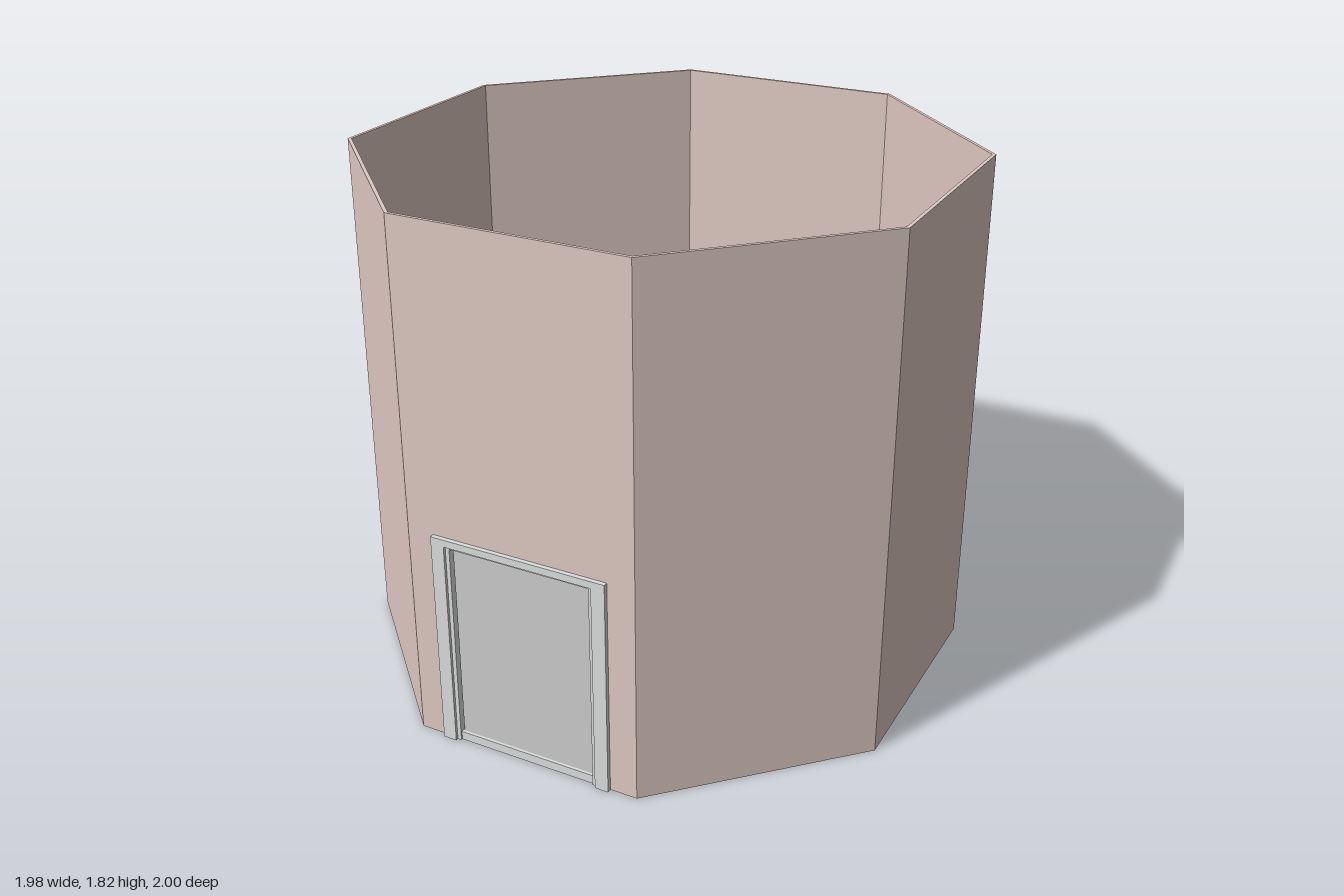
import * as THREE from 'three';

const material = (name, color) => {
  const m = new THREE.MeshStandardMaterial({ color });
  m.name = name;
  return m;
};

export function createModel() {
  const wallPaint = material('wallPaint', 0xdec8c1);
  const trimPaint = material('trimPaint', 0xdadddc);
  const floorGrey = material('floorGrey', 0xb4b4b4);
  const boardBrown = material('boardBrown', 0x8b4513);

  const apothem = 0.992, thick = 0.012, height = 1.82;
  const half = apothem * Math.tan(Math.PI / 8);
  const inner = apothem - thick;
  const doorHalf = 0.267, doorTop = 0.745;

  const model = new THREE.Group();
  model.name = 'octagonalRoom';
  model.position.z = -0.008;

  const box = (parent, name, mat, w, h, d, x, y, z) => {
    const mesh = new THREE.Mesh(new THREE.BoxGeometry(w, h, d), mat);
    mesh.name = name;
    mesh.position.set(x, y, z);
    parent.add(mesh);
  };

  // One wall panel with mitred ends; the front one has a door opening
  const wallGeometry = (hasDoor) => {
    const points = [[half, 0], [half, height], [-half, height], [-half, 0]];
    if (hasDoor) points.push([-doorHalf, 0], [-doorHalf, doorTop], [doorHalf, doorTop], [doorHalf, 0]);
    const shape = new THREE.Shape(points.map(([x, y]) => new THREE.Vector2(x, y)));
    const geo = new THREE.ExtrudeGeometry(shape, { depth: thick, bevelEnabled: false });
    geo.translate(0, 0, inner);
    const p = geo.attributes.position;
    for (let i = 0; i < p.count; i++) {
      if (Math.abs(p.getX(i)) > half - 0.001) p.setX(i, p.getX(i) * p.getZ(i) / apothem);
    }
    geo.computeVertexNormals();
    return geo;
  };

  // Eight walls, with outlet plates on the back and side walls
  for (let i = 0; i < 8; i++) {
    const side = new THREE.Group();
    side.name = i === 0 ? 'frontSide' : `side${i}`;
    side.rotation.y = i * Math.PI / 4;
    const wall = new THREE.Mesh(wallGeometry(i === 0), wallPaint);
    wall.name = 'wall';
    side.add(wall);
    if (i >= 2 && i <= 6) {
      box(side, 'outletPlate', trimPaint, 0.085, 0.13, 0.006, 0.243, 0.161, inner - 0.003);
    }
    model.add(side);
  }

  // Floor slab
  const floorRadius = (apothem - 0.003) / Math.cos(Math.PI / 8);
  const floorGeo = new THREE.CylinderGeometry(floorRadius, floorRadius, 0.03, 8).toNonIndexed();
  floorGeo.computeVertexNormals();
  const floor = new THREE.Mesh(floorGeo, floorGrey);
  floor.name = 'floor';
  floor.rotation.y = Math.PI / 8;
  floor.position.y = 0.015;
  model.add(floor);

  // Brown board set through the back wall
  box(model, 'backBoard', boardBrown, 0.55, 0.39, thick + 0.006, 0, 0.555, -(apothem - thick / 2));

  // Door casing outside and inside, with a jamb lining the opening
  const door = new THREE.Group();
  door.name = 'doorFrame';
  const casing = 0.048, casingTop = 0.77;
  for (const [z, d] of [[apothem + 0.008, 0.016], [inner - 0.005, 0.01]]) {
    for (const s of [-1, 1]) {
      box(door, 'sideCasing', trimPaint, casing, casingTop, d, s * (doorHalf + casing / 2), casingTop / 2, z);
    }
    box(door, 'topCasing', trimPaint, doorHalf * 2, casingTop - doorTop, d, 0, (casingTop + doorTop) / 2, z);
  }
  const jambZ = apothem - thick / 2, jambDepth = thick + 0.012;
  for (const s of [-1, 1]) {
    box(door, 'sideJamb', trimPaint, 0.014, doorTop, jambDepth, s * (doorHalf - 0.007), doorTop / 2, jambZ);
  }
  box(door, 'topJamb', trimPaint, doorHalf * 2 - 0.028, 0.01, jambDepth, 0, doorTop - 0.005, jambZ);
  box(door, 'threshold', trimPaint, doorHalf * 2 - 0.028, 0.031, 0.01, 0, 0.0155, apothem - 0.005);
  model.add(door);

  const root = new THREE.Group();
  root.name = 'room';
  root.add(model);
  return root;
}
